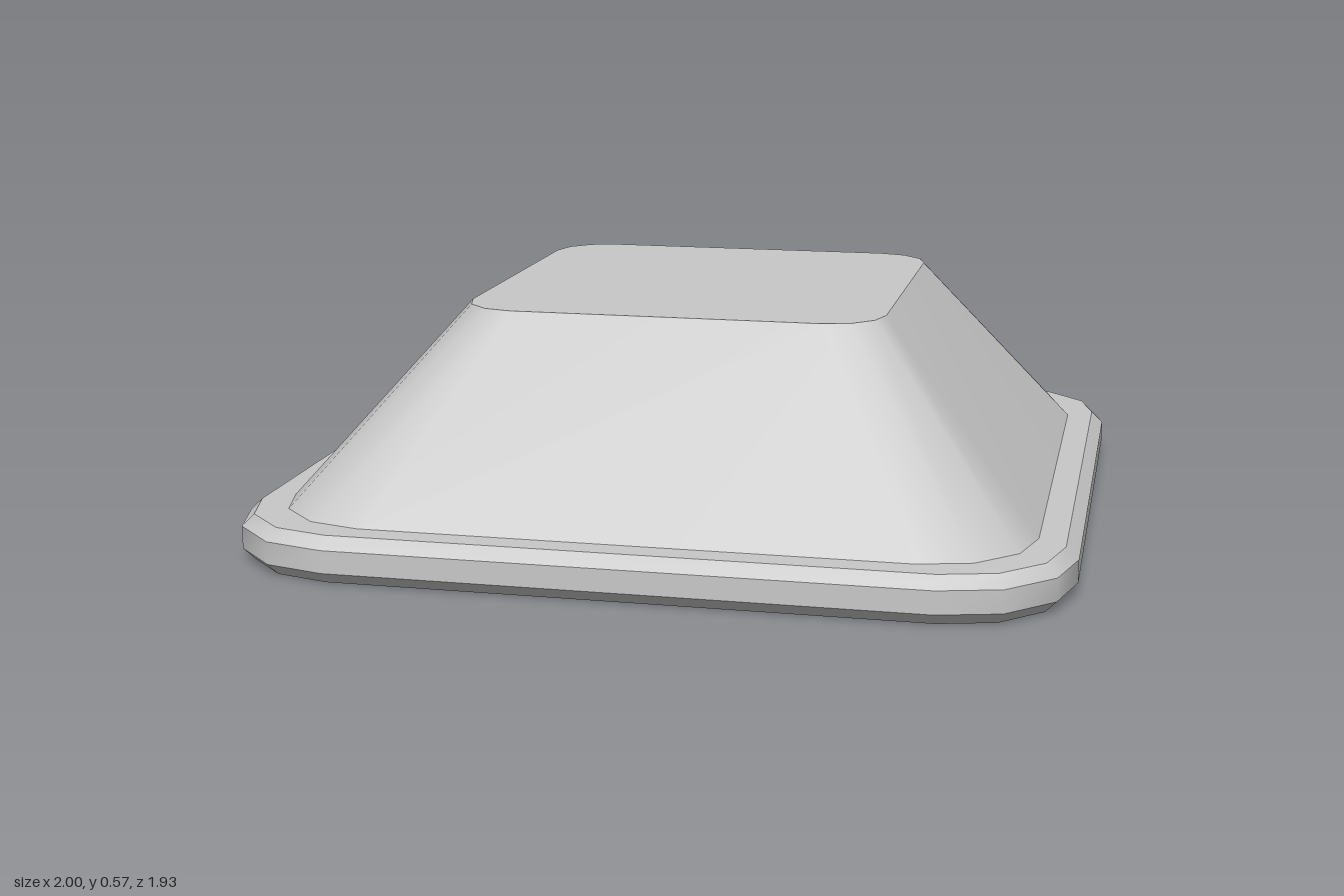
import * as THREE from 'three';

const STEPS = 3; // segments per rounded corner

// Rounded rectangle in the xz plane: half width, half depth, corner radius, height
function ring(hx, hz, r, y) {
  const points = [];
  const signs = [[1, 1], [-1, 1], [-1, -1], [1, -1]];
  signs.forEach(([sx, sz], corner) => {
    for (let i = 0; i <= STEPS; i++) {
      const a = (corner + i / STEPS) * Math.PI / 2;
      points.push([sx * (hx - r) + r * Math.cos(a), y, sz * (hz - r) + r * Math.sin(a)]);
    }
  });
  return points;
}

function geometryFrom(points, index) {
  const geometry = new THREE.BufferGeometry();
  geometry.setAttribute('position', new THREE.Float32BufferAttribute(points.flat(), 3));
  geometry.setIndex(index);
  geometry.computeVertexNormals();
  return geometry;
}

// Smooth wall joining a lower ring to an upper ring
function band(low, high) {
  const n = low.length, index = [];
  for (let i = 0; i < n; i++) {
    const j = (i + 1) % n;
    index.push(i, n + i, j, j, n + i, n + j);
  }
  return geometryFrom([...low, ...high], index);
}

// Flat face filling a ring
function cap(points, up) {
  const index = [];
  for (let i = 1; i < points.length - 1; i++) {
    index.push(0, up ? i + 1 : i, up ? i : i + 1);
  }
  return geometryFrom(points, index);
}

export function createModel() {
  const model = new THREE.Group();
  model.name = 'squareCap';
  const grey = new THREE.MeshStandardMaterial({ color: 0xc8c8c8 });
  grey.name = 'light grey';

  // Stacks rings into a closed solid with a crisp edge at every ring
  const addSolid = (name, rings) => {
    const group = new THREE.Group();
    group.name = name;
    const add = (part, geometry) => {
      const mesh = new THREE.Mesh(geometry, grey);
      mesh.name = name + part;
      group.add(mesh);
    };
    for (let i = 0; i < rings.length - 1; i++) add('Side' + (i + 1), band(rings[i], rings[i + 1]));
    add('Bottom', cap(rings[0], false));
    add('Top', cap(rings[rings.length - 1], true));
    model.add(group);
  };

  // Bevelled rim plate
  addSolid('rim', [
    ring(0.97, 0.935, 0.265, 0),
    ring(1, 0.965, 0.295, 0.03),
    ring(1, 0.965, 0.295, 0.085),
    ring(0.97, 0.935, 0.265, 0.113),
  ]);

  // Tapered body, sunk slightly into the rim
  addSolid('body', [
    ring(0.908, 0.873, 0.255, 0.11),
    ring(0.515, 0.517, 0.135, 0.573),
  ]);

  return model;
}
